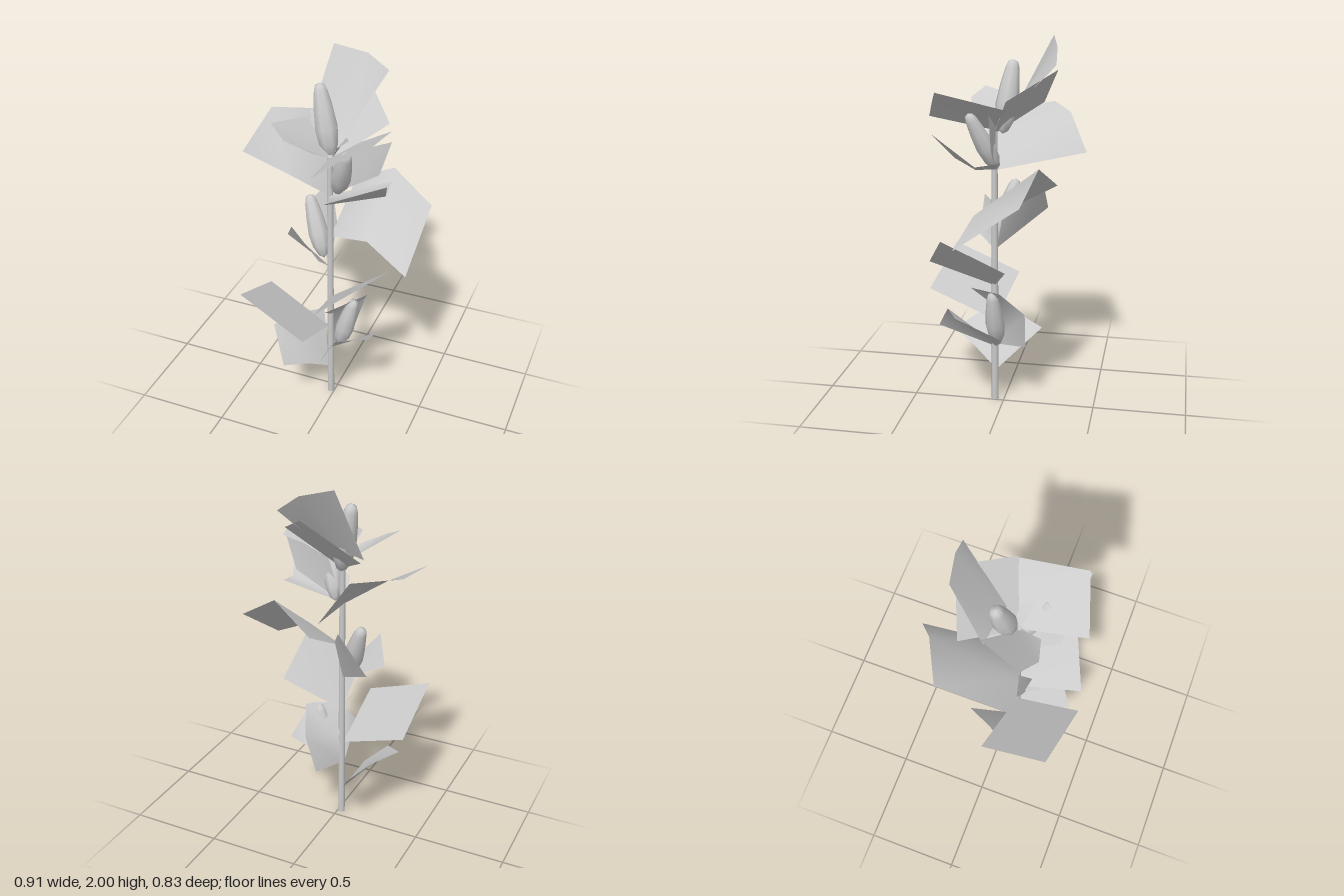
import * as THREE from 'three';

const material = new THREE.MeshStandardMaterial({ color: 0xcccccc, side: THREE.DoubleSide });

// Leaf blade: a two-segment strip, given as root, middle and tip edges (near corner, far corner)
function leafGeometry(rows) {
  const g = new THREE.BufferGeometry();
  g.setAttribute('position', new THREE.Float32BufferAttribute(rows.flat(2), 3));
  const index = [];
  for (let i = 0; i < rows.length - 1; i++) {
    const a = i * 2;
    index.push(a, a + 1, a + 3, a, a + 3, a + 2);
  }
  g.setIndex(index);
  g.computeVertexNormals();
  return g;
}

const halfway = (a, b) => a.map((v, i) => (v + b[i]) / 2);

// Flat leaves leave out the middle edge
const makeRows = ([root, tip, middle]) =>
  [root, middle || [halfway(root[0], tip[0]), halfway(root[1], tip[1])], tip];

// Bud: blunt teardrop lathe leaning from base to top
function makeBud(base, top, radius) {
  const from = new THREE.Vector3(...base);
  const axis = new THREE.Vector3(...top).sub(from);
  const len = axis.length();
  const profile = [[0, 0], [0.45, 0.05], [0.85, 0.2], [1, 0.4], [0.85, 0.66], [0.62, 0.88], [0.42, 0.97], [0, 1]]
    .map(([r, t]) => new THREE.Vector2(r * radius, t * len));
  const bud = new THREE.Mesh(new THREE.LatheGeometry(profile, 8), material);
  bud.position.copy(from);
  bud.quaternion.setFromUnitVectors(new THREE.Vector3(0, 1, 0), axis.normalize());
  return bud;
}

// Each entry: root edge, tip edge, optional middle edge
const leaves = {
  lowestLeaf: [
    [[-0.035, 0.17, 0.045], [-0.16, 0.385, -0.19]],
    [[-0.19, 0.335, 0.315], [-0.333, 0.44, 0.125]],
    [[-0.1, 0.28, 0.19], [-0.238, 0.43, -0.04]]],
  lowerLeftLeaf: [
    [[-0.03, 0.465, 0.05], [-0.03, 0.625, 0.415]],
    [[-0.41, 0.62, -0.02], [-0.41, 0.78, 0.35]]],
  lowerRightLeaf: [
    [[-0.03, 0.31, 0.05], [0.03, 0.44, 0.35]],
    [[0.257, 0.47, -0.03], [0.25, 0.57, 0.21]],
    [[0.127, 0.385, 0.01], [0.1, 0.565, 0.285]]],
  lowerBackLeaf: [
    [[-0.02, 0.33, 0.05], [0.05, 0.35, -0.13]],
    [[0, 0.655, 0.18], [0.17, 0.69, -0.01]],
    [[-0.02, 0.52, 0.01], [0.11, 0.56, -0.135]]],
  middleFrontLeaf: [
    [[-0.02, 0.67, 0.05], [0.025, 0.8, 0.4]],
    [[0.28, 0.845, -0.06], [0.295, 1.0, 0.27]]],
  middleBackLeaf: [
    [[-0.03, 0.88, 0.04], [0, 1.1, 0]],
    [[-0.275, 1.05, -0.2], [-0.11, 1.25, -0.19]]],
  middleSideLeaf: [
    [[-0.03, 0.87, 0.05], [-0.05, 0.95, 0.14]],
    [[-0.275, 1.0, 0.03], [-0.2, 1.13, 0.14]]],
  largeRightLeaf: [
    [[-0.02, 1.06, 0.05], [0, 1.245, -0.285]],
    [[0.435, 1.0, 0.175], [0.456, 1.235, -0.16]],
    [[0.206, 1.12, 0.115], [0.23, 1.38, -0.22]]],
  largeLeftLeaf: [
    [[-0.03, 1.305, 0.05], [-0.115, 1.4, -0.42]],
    [[-0.436, 1.54, 0.18], [-0.455, 1.61, -0.205]],
    [[-0.24, 1.44, 0.13], [-0.233, 1.59, -0.32]]],
  upperFrontLeaf: [
    [[-0.02, 1.31, 0.05], [0.28, 1.41, -0.03]],
    [[0.03, 1.375, 0.25], [0.363, 1.565, 0.29]],
    [[0, 1.31, 0.15], [0.29, 1.39, 0.09]]],
  upperSideLeaf: [
    [[-0.02, 1.31, 0.05], [0.05, 1.55, 0.03]],
    [[0.23, 1.46, 0.02], [0.29, 1.655, 0.02]]],
  crownLeftLeaf: [
    [[-0.02, 1.52, 0.05], [-0.065, 1.6, 0.175]],
    [[-0.19, 1.66, -0.08], [-0.29, 1.71, 0.15]],
    [[-0.1, 1.59, 0], [-0.195, 1.66, 0.21]]],
  crownFrontLeaf: [
    [[-0.02, 1.52, 0.05], [0.02, 1.59, 0.385]],
    [[0.262, 1.67, -0.06], [0.277, 1.75, 0.29]],
    [[0.12, 1.61, -0.005], [0.147, 1.68, 0.337]]],
  crownBackLeaf: [
    [[-0.02, 1.5, 0.05], [-0.225, 1.64, -0.18]],
    [[0.25, 1.71, -0.057], [0.045, 1.845, -0.285]]],
  topLeaf: [
    [[0.03, 1.61, -0.03], [0.16, 1.88, -0.29]],
    [[-0.19, 1.61, -0.065], [-0.115, 2.0, -0.24]],
    [[-0.08, 1.63, -0.05], [0.05, 1.96, -0.28]]],
  smallCrownLeaf: [
    [[-0.02, 1.5, 0.05], [0.01, 1.56, 0.02]],
    [[0.1, 1.66, 0.1], [0.1, 1.66, 0.1]],
    [[0.03, 1.6, 0.08], [0.06, 1.64, 0.03]]],
};

const buds = {
  topBud: [[-0.03, 1.5, 0.01], [-0.11, 1.875, -0.035], 0.06],
  upperBud: [[0.01, 1.32, 0.03], [0.115, 1.625, 0.16], 0.052],
  middleBud: [[-0.06, 0.91, 0.04], [-0.175, 1.23, -0.04], 0.055],
  lowerBud: [[0.02, 0.34, 0.03], [0.115, 0.675, 0.04], 0.052],
};

export function createModel() {
  const plant = new THREE.Group();
  plant.name = 'buddingPlant';

  // Stem
  const stem = new THREE.Mesh(new THREE.CylinderGeometry(0.016, 0.02, 1.53, 8), material);
  stem.name = 'stem';
  stem.position.set(-0.02, 0.765, 0.05);
  plant.add(stem);

  // Leaves
  for (const [name, edges] of Object.entries(leaves)) {
    const leaf = new THREE.Mesh(leafGeometry(makeRows(edges)), material);
    leaf.name = name;
    plant.add(leaf);
  }

  // Buds
  for (const [name, args] of Object.entries(buds)) {
    const bud = makeBud(...args);
    bud.name = name;
    plant.add(bud);
  }
  return plant;
}
